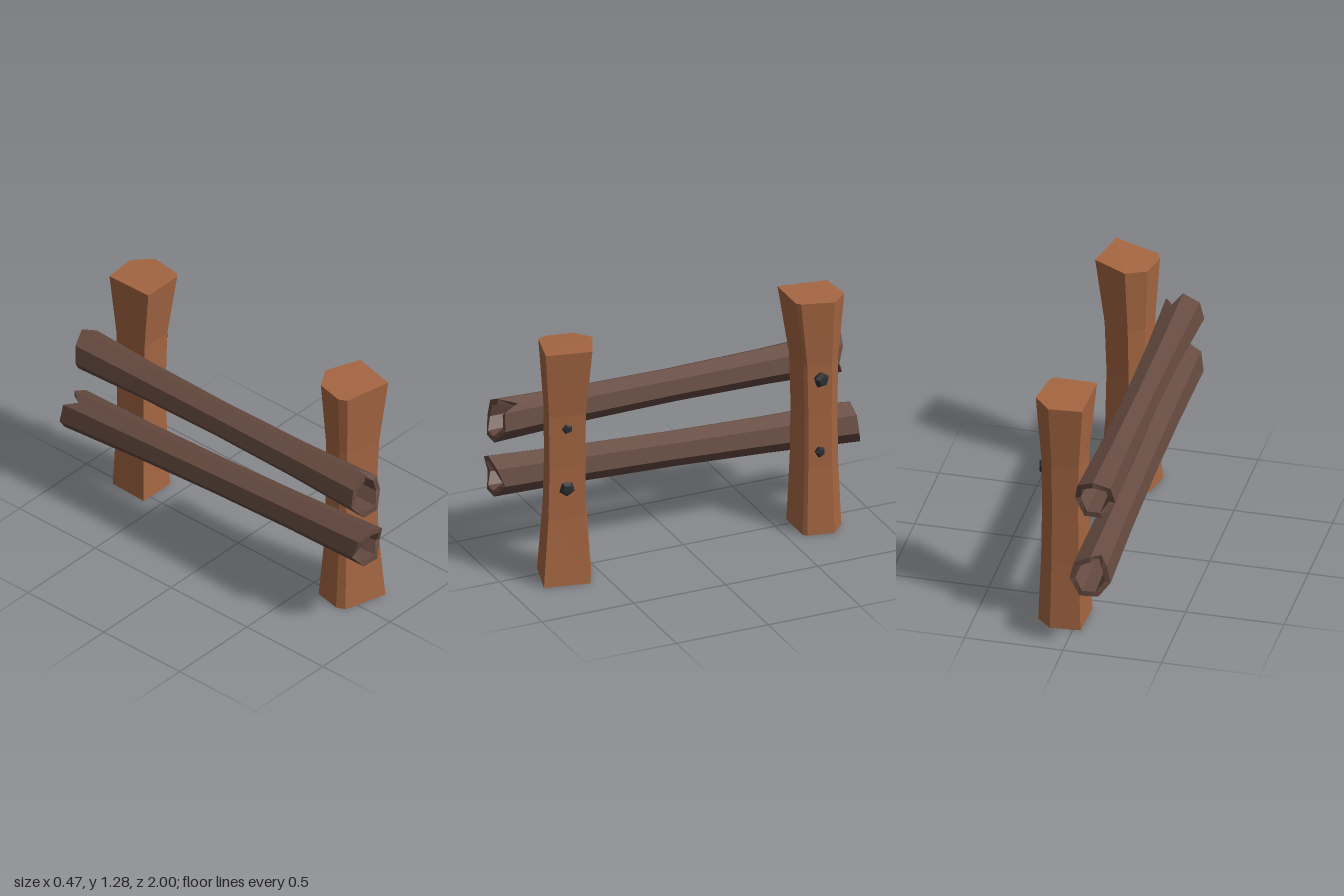
import * as THREE from 'three';

const mat = (color) => new THREE.MeshStandardMaterial({ color, flatShading: true });
const lerp = THREE.MathUtils.lerp;

// Skin a list of equal-length rings of [x, y, z]; either capped or closed back on itself
function loft(rings, closed) {
  const pos = [];
  const tri = (a, b, c) => pos.push(...a, ...b, ...c);
  const n = rings[0].length;
  const last = closed ? rings.length : rings.length - 1;
  for (let i = 0; i < last; i++) {
    const r = rings[i], s = rings[(i + 1) % rings.length];
    for (let j = 0; j < n; j++) {
      const k = (j + 1) % n;
      tri(r[j], s[j], s[k]);
      tri(r[j], s[k], r[k]);
    }
  }
  if (!closed) {
    const bottom = rings[0], top = rings[rings.length - 1];
    for (let j = 1; j < n - 1; j++) {
      tri(top[0], top[j + 1], top[j]);
      tri(bottom[0], bottom[j], bottom[j + 1]);
    }
  }
  const g = new THREE.BufferGeometry();
  g.setAttribute('position', new THREE.Float32BufferAttribute(pos, 3));
  g.computeVertexNormals();
  return g;
}

// Waisted post: outline of [x, z] about a centre, levels of [y, scale x, scale z, shift x, shift z]
function post(outline, [cx, cz], levels, tilt) {
  const rings = levels.map(([y, sx, sz, dx, dz], i) => outline.map(([x, z]) => [
    cx + (x - cx) * sx + dx,
    y - (i === levels.length - 1 ? tilt(x, z) : 0),
    cz + (z - cz) * sz + dz,
  ]));
  return loft(rings, false);
}

// Hollow seven-sided rail with jagged ends; each face has a middle point so it can be split
function rail({ x, yBack, yFront, rMid, rEnd, front, back }) {
  const ring = (zs, wall) => zs.map((z, j) => {
    const a = Math.floor(j / 2) * Math.PI * 2 / 7, b = a + Math.PI * 2 / 7;
    const r = lerp(rMid, rEnd, z * z) * wall;
    const f = j % 2 ? 0.5 : 0;
    return [
      x + r * lerp(Math.sin(a), Math.sin(b), f),
      lerp(yBack, yFront, (z + 1) / 2) + r * lerp(Math.cos(a), Math.cos(b), f),
      z,
    ];
  });
  const stations = [back, ...[-0.5, 0, 0.5].map((z) => Array(14).fill(z)), front];
  const outer = stations.map((s) => ring(s, 1));
  const inner = stations.map((s) => ring(s, 0.72)).reverse();
  return loft([...outer, ...inner], true);
}

// Expand seven corner values to fourteen, with optional notches at chosen face middles
function jagged(corners, notches = {}) {
  const out = [];
  corners.forEach((c, i) => out.push(c, notches[i] ?? (c + corners[(i + 1) % 7]) / 2));
  return out;
}

export function createModel() {
  const group = new THREE.Group();
  const postMat = mat(0xa56642), railMat = mat(0x654a40), boltMat = mat(0x2b2e30);
  const add = (name, geometry, material) => {
    const m = new THREE.Mesh(geometry, material);
    m.name = name;
    group.add(m);
    return m;
  };

  // Posts
  add('frontPost', post(
    [[0.06, 0.52], [0.23, 0.6], [0.18, 0.83], [-0.05, 0.765], [-0.07, 0.72], [-0.04, 0.58]],
    [0.075, 0.675],
    [[0, 0.97, 1, -0.02, 0], [0.36, 0.79, 0.8, -0.015, 0], [0.64, 0.75, 0.76, -0.015, -0.002],
      [0.92, 0.78, 0.79, -0.01, 0], [1.28, 1, 1, 0, 0]],
    (x) => Math.max(0, 0.08 * (0.18 - x)),
  ), postMat);
  add('backPost', post(
    [[-0.05, -0.805], [0.12, -0.82], [0.205, -0.73], [0.175, -0.56], [0.155, -0.54], [-0.06, -0.54]],
    [0.07, -0.675],
    [[0, 0.9, 0.8, 0, -0.015], [0.36, 0.8, 0.7, 0, -0.014], [0.64, 0.77, 0.68, 0, -0.014],
      [0.92, 0.79, 0.72, 0, -0.012], [1.28, 1, 1, 0, 0]],
    (x, z) => 0.055 * (-0.54 - z),
  ), postMat);

  // Rails, end values listed clockwise from the top corner
  add('upperRail', rail({
    x: -0.13, yBack: 0.825, yFront: 0.825, rMid: 0.087, rEnd: 0.112,
    front: jagged([0.95, 0.95, 0.955, 0.99, 0.985, 0.955, 0.95], { 0: 0.86 }),
    back: jagged([-0.915, -0.89, -0.86, -0.9, -0.9, -0.865, -0.885]),
  }), railMat);
  add('lowerRail', rail({
    x: -0.13, yBack: 0.425, yFront: 0.525, rMid: 0.092, rEnd: 0.108,
    front: jagged([1, 0.99, 0.955, 0.99, 0.985, 0.955, 0.985]),
    back: jagged([-0.965, -0.965, -0.97, -1, -0.99, -0.97, -0.965], { 6: -0.9 }),
  }), railMat);

  // Five-sided bolt heads: x, y, z, radius, yaw, spin
  const bolts = [
    [0.16, 0.85, 0.705, 0.03, -0.2, 0.3],
    [0.158, 0.52, 0.705, 0.042, -0.2, Math.PI],
    [0.178, 0.845, -0.67, 0.042, 0.17, 0],
    [0.172, 0.45, -0.665, 0.03, 0.17, 2.8],
  ];
  for (const [x, y, z, r, yaw, spin] of bolts) {
    const profile = [[0.8, -0.5], [1, 0.05], [0.65, 0.5], [0, 0.55]]
      .map(([px, py]) => new THREE.Vector2(px * r, py * r));
    const g = new THREE.LatheGeometry(profile, 5, -Math.PI / 2 + spin);
    g.rotateZ(-Math.PI / 2);
    const bolt = add('bolt', g, boltMat);
    bolt.position.set(x, y, z);
    bolt.rotation.y = yaw;
  }
  return group;
}
